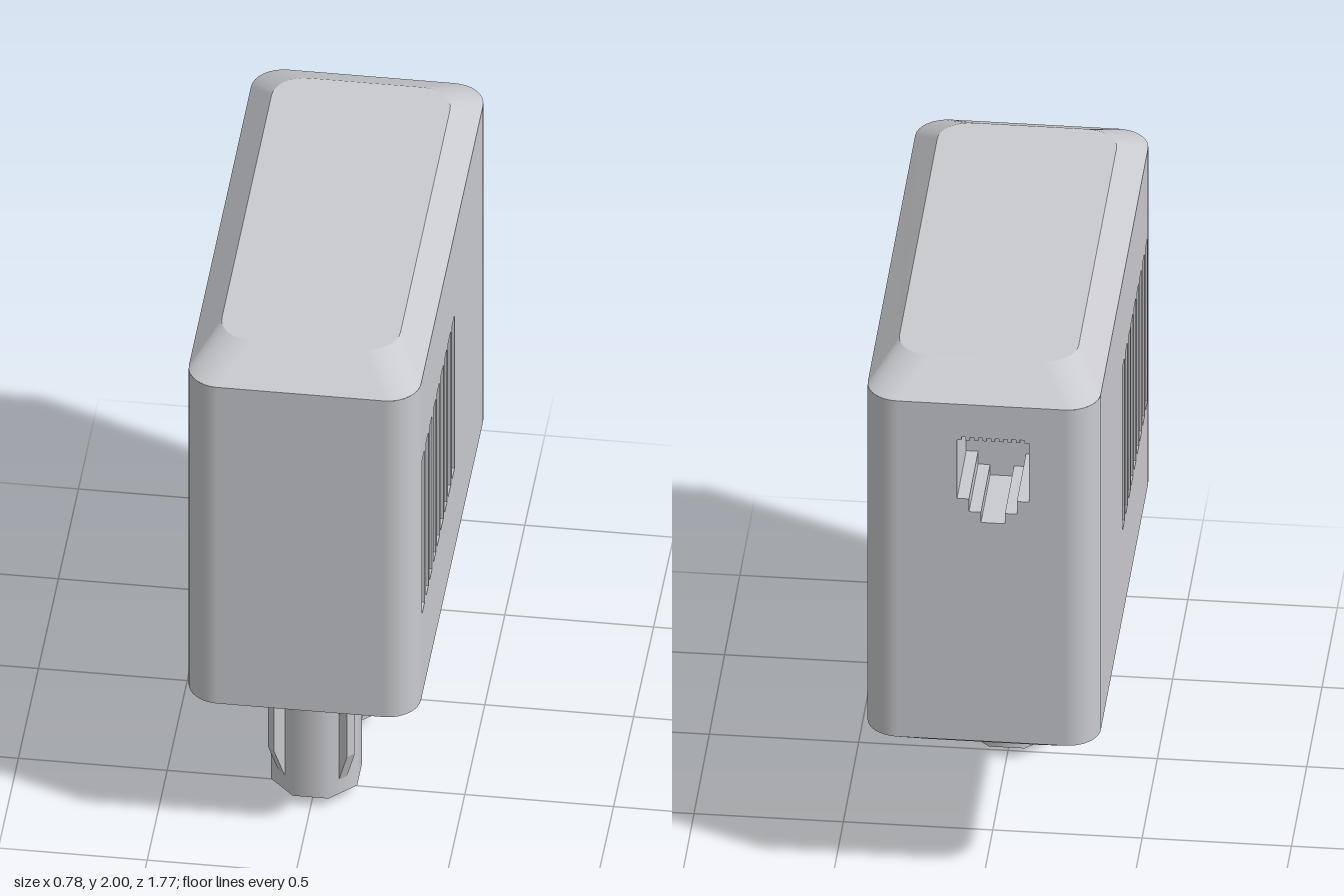
import * as THREE from 'three';
import { toCreasedNormals } from 'three/addons/utils/BufferGeometryUtils.js';

const HX = 0.39, HZ = 0.885, R = 0.11;      // body half width, half depth, corner radius
const Y0 = 0.59, Y1 = 1.91;                 // straight part of the walls
const TOP_X = 0.3, TOP_Z = 0.73;            // half size of the bevelled ends
const PAD_Z = [0.49, 0.1, -0.3];

export function createModel() {
  const grey = new THREE.MeshStandardMaterial({ color: 0xcacbcf });
  grey.name = 'light grey plastic';
  const model = new THREE.Group();
  model.name = 'plugInAdapter';

  const add = (name, geometry, parent = model) => {
    const mesh = new THREE.Mesh(geometry, grey);
    mesh.name = name;
    parent.add(mesh);
    return mesh;
  };
  const rect = (x0, y0, x1, y1, Type = THREE.Path) => new Type([
    [x0, y0], [x1, y0], [x1, y1], [x0, y1],
  ].map(p => new THREE.Vector2(...p)));

  // Outline of a rounded rectangle in the xz plane
  const roundRect = (hx, hz, r, steps = 8) => {
    const pts = [];
    [[1, 1], [1, -1], [-1, -1], [-1, 1]].forEach(([sx, sz], q) => {
      for (let i = 0; i <= steps; i++) {
        const a = (q + i / steps) * Math.PI / 2;
        pts.push(new THREE.Vector2(sx * (hx - r) + r * Math.sin(a), sz * (hz - r) + r * Math.cos(a)));
      }
    });
    return pts;
  };

  // Sloping band between two outlines
  const bevel = (lower, yLow, upper, yHigh) => {
    const n = lower.length, pos = [], index = [];
    lower.forEach(p => pos.push(p.x, yLow, p.y));
    upper.forEach(p => pos.push(p.x, yHigh, p.y));
    for (let i = 0; i < n; i++) {
      const j = (i + 1) % n;
      index.push(i, j, n + j, i, n + j, n + i);
    }
    const g = new THREE.BufferGeometry();
    g.setAttribute('position', new THREE.Float32BufferAttribute(pos, 3));
    g.setIndex(index);
    g.computeVertexNormals();
    return g;
  };

  // Wall with cut-outs, its outer face at the given distance from the centre
  const wall = (name, halfWidth, dist, depth, angle, holes = []) => {
    const group = new THREE.Group();
    group.name = name;
    group.rotation.y = angle;
    model.add(group);
    const shape = rect(-halfWidth, Y0, halfWidth, Y1, THREE.Shape);
    shape.holes.push(...holes);
    add(name + 'Panel', new THREE.ExtrudeGeometry(shape, { depth, bevelEnabled: false })
      .translate(0, 0, dist - depth), group);
    if (holes.length) {
      add(name + 'RecessFloor', new THREE.PlaneGeometry(halfWidth * 2, Y1 - Y0)
        .translate(0, (Y0 + Y1) / 2, dist - depth), group);
    }
  };

  // Side walls with nine vent slots each
  for (const side of [1, -1]) {
    const slots = [];
    for (let i = 0; i < 9; i++) {
      const z = 0.7175 - i * 0.0934;
      slots.push(rect(-side * z - 0.0325, 0.93, -side * z + 0.0325, 1.57));
    }
    wall(side > 0 ? 'leftWall' : 'rightWall', HZ - R, HX, 0.06, side * Math.PI / 2, slots);
  }

  // Front wall, and back wall with the stepped, notched socket opening
  wall('frontWall', HX - R, HZ, 0.05, 0);
  const px = 0.04, portTop = 1.77;
  const port = [
    [-0.12, portTop], [-0.12, 1.54], [-0.08, 1.54], [-0.08, 1.49], [-0.04, 1.49], [-0.04, 1.45],
    [0.04, 1.45], [0.04, 1.49], [0.08, 1.49], [0.08, 1.54], [0.12, 1.54], [0.12, portTop],
  ];
  for (let i = 0; i < 8; i++) {
    const x = 0.098 - i * 0.028;
    port.push([x + 0.007, portTop], [x + 0.007, portTop + 0.012], [x - 0.007, portTop + 0.012], [x - 0.007, portTop]);
  }
  wall('backWall', HX - R, HZ, 0.3, Math.PI,
    [new THREE.Path(port.map(([x, y]) => new THREE.Vector2(x + px, y)))]);

  // Rounded vertical corners
  [[1, 1], [1, -1], [-1, -1], [-1, 1]].forEach(([sx, sz], q) => {
    add('bodyCorner', new THREE.CylinderGeometry(R, R, Y1 - Y0, 10, 1, true, q * Math.PI / 2, Math.PI / 2)
      .translate(sx * (HX - R), (Y0 + Y1) / 2, sz * (HZ - R)));
  });

  // Bevelled top and bottom
  const wide = roundRect(HX, HZ, R), narrow = roundRect(TOP_X, TOP_Z, R);
  add('topBevel', bevel(wide, Y1, narrow, 2));
  add('bottomBevel', bevel(narrow, 0.49, wide, Y0));
  add('topFace', new THREE.ShapeGeometry(new THREE.Shape(narrow)).rotateX(-Math.PI / 2).translate(0, 2, 0));

  // Bottom plate, cut by the square keyhole
  const keyZ = PAD_Z[2], k = 0.055;
  const base = new THREE.Shape(narrow);
  base.holes.push(rect(-k, keyZ - k, k, keyZ + k));
  add('bottomPlate', new THREE.ExtrudeGeometry(base, { depth: 0.1, bevelEnabled: false })
    .rotateX(Math.PI / 2).translate(0, 0.59, 0));
  add('keyholeFloor', new THREE.PlaneGeometry(0.2, 0.2).rotateX(Math.PI / 2).translate(0, 0.589, keyZ));

  // Round pads under the body, joined by necks
  const padProfile = [[0.115, 0.48], [0.13, 0.465], [0.195, 0.465], [0.22, 0.49]]
    .map(p => new THREE.Vector2(...p));
  for (const z of PAD_Z) {
    add('pad', toCreasedNormals(new THREE.LatheGeometry(padProfile, 40), 0.5).translate(0, 0, z));
  }
  for (const z of [0.295, -0.1]) {
    add('padNeck', new THREE.BoxGeometry(0.18, 0.024, 0.2).translate(0, 0.479, z));
  }
  const disc = new THREE.Shape().absarc(0, 0, 0.116, 0, Math.PI * 2);
  disc.holes.push(rect(-k, -k, k, k));
  add('keyholeDisc', new THREE.ExtrudeGeometry(disc, { depth: 0.01, bevelEnabled: false, curveSegments: 20 })
    .rotateX(Math.PI / 2).translate(0, 0.49, keyZ));

  // Two pins with diagonal tapered fins and a small round tip
  const finShape = new THREE.Shape([[0.1, 0.1], [0.146, 0.1], [0.19, 0.22], [0.19, 0.475], [0.1, 0.475]]
    .map(p => new THREE.Vector2(...p)));
  const finGeometry = new THREE.ExtrudeGeometry(finShape, { depth: 0.034, bevelEnabled: false })
    .translate(0, 0, -0.017);
  for (const z of PAD_Z.slice(0, 2)) {
    const pin = new THREE.Group();
    pin.name = 'pin';
    pin.position.z = z;
    model.add(pin);
    add('pinBody', new THREE.CylinderGeometry(0.157, 0.157, 0.445, 8, 1, false, Math.PI / 8)
      .translate(0, 0.2625, 0), pin);
    add('pinTip', new THREE.CylinderGeometry(0.067, 0.067, 0.05, 28).translate(0, 0.025, 0), pin);
    for (let i = 0; i < 4; i++) {
      add('pinFin', finGeometry, pin).rotation.y = Math.PI / 4 + i * Math.PI / 2;
    }
  }

  // Web between the pins
  add('pinWeb', new THREE.BoxGeometry(0.04, 0.38, 0.12).translate(0, 0.29, 0.295));

  return model;
}
